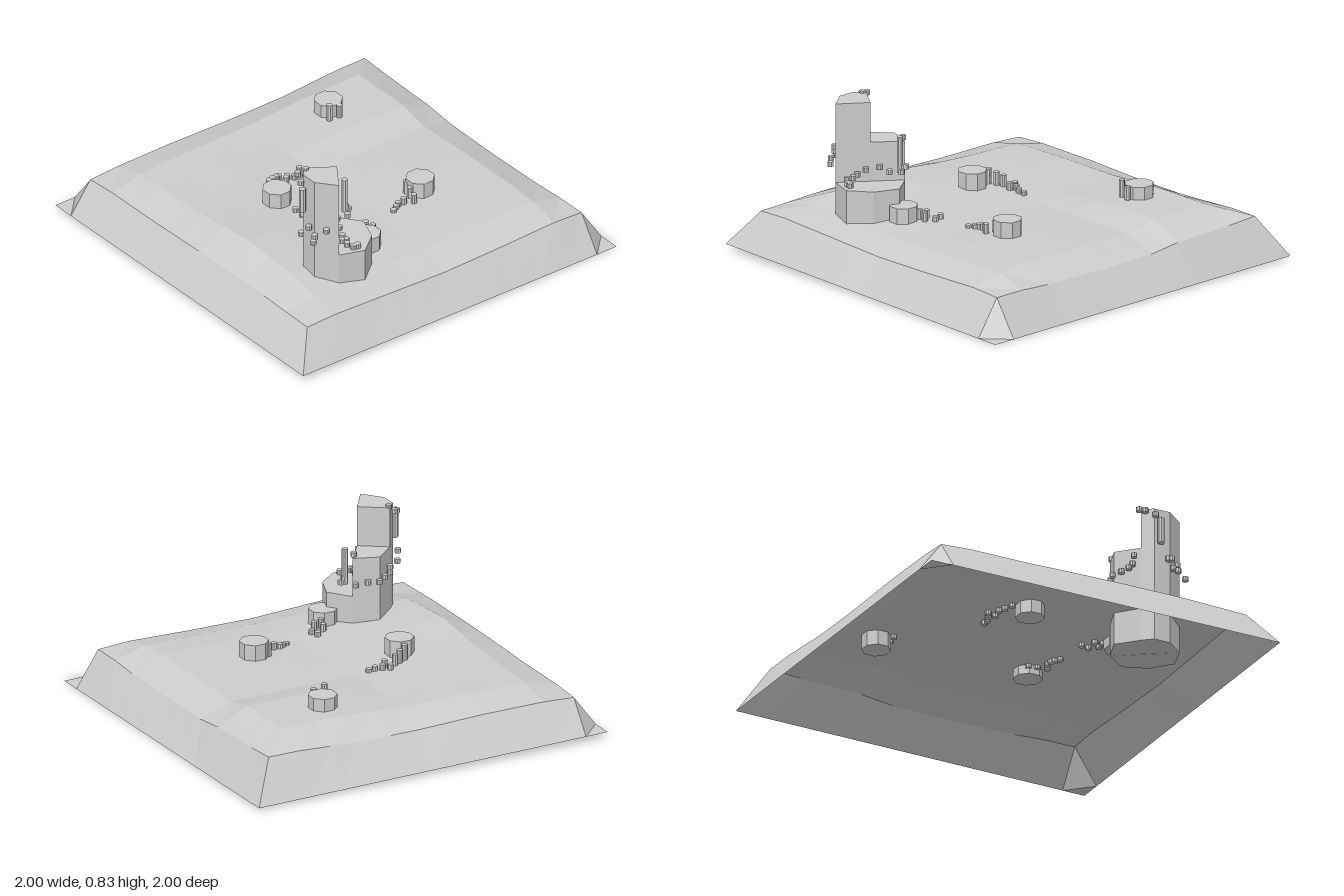
import * as THREE from 'three';

const stone = new THREE.MeshStandardMaterial({ color: 0xcccccc, flatShading: true, side: THREE.DoubleSide });
stone.name = 'greyStone';

// Coarse plateau heights; rows run back to front, columns left to right
const xs = [-0.875, -0.7, -0.35, 0, 0.35, 0.7, 0.875];
const zs = [-0.875, -0.7, -0.35, -0.175, 0.175, 0.525, 0.7, 0.875];
const heights = [
  [0.20, 0.21, 0.21, 0.20, 0.20, 0.22, 0.22],
  [0.21, 0.25, 0.26, 0.26, 0.28, 0.28, 0.21],
  [0.21, 0.26, 0.26, 0.255, 0.28, 0.28, 0.20],
  [0.215, 0.27, 0.265, 0.245, 0.245, 0.24, 0.18],
  [0.22, 0.305, 0.27, 0.245, 0.25, 0.25, 0.175],
  [0.22, 0.28, 0.26, 0.24, 0.25, 0.25, 0.18],
  [0.215, 0.24, 0.235, 0.23, 0.235, 0.24, 0.19],
  [0.21, 0.215, 0.20, 0.185, 0.19, 0.20, 0.19],
];

function locate(knots, v) {
  let i = 0;
  while (i < knots.length - 2 && v > knots[i + 1]) i++;
  return [i, THREE.MathUtils.clamp((v - knots[i]) / (knots[i + 1] - knots[i]), 0, 1)];
}

function groundHeight(x, z) {
  const [i, u] = locate(xs, x), [j, v] = locate(zs, z);
  const row = (r) => THREE.MathUtils.lerp(heights[r][i], heights[r][i + 1], u);
  return THREE.MathUtils.lerp(row(j), row(j + 1), v);
}

function addMesh(parent, geometry, name) {
  const mesh = new THREE.Mesh(geometry, stone);
  mesh.name = name;
  parent.add(mesh);
  return mesh;
}

// Gently uneven plateau with a steep one-cell skirt
function terrain() {
  const geo = new THREE.PlaneGeometry(2, 2, 12, 12).rotateX(-Math.PI / 2);
  const pos = geo.attributes.position;
  const coord = (i) => (i === 0 ? -1 : i === 12 ? 1 : (i - 6) * 0.175);
  for (let k = 0; k < pos.count; k++) {
    const x = coord(k % 13), z = coord(Math.floor(k / 13));
    const rim = Math.abs(x) === 1 || Math.abs(z) === 1;
    // The rim tilts slightly up towards the left
    const y = rim ? (1 - x) * 0.0165 + (1 - z) * (1 + x) * 0.003 : groundHeight(x, z);
    pos.setXYZ(k, x, y, z);
  }
  geo.computeVertexNormals();
  return geo;
}

// Upright prism over an (x, z) outline
function prism(outline, bottom, top) {
  const shape = new THREE.Shape(outline.map(([x, z]) => new THREE.Vector2(x, -z)));
  return new THREE.ExtrudeGeometry(shape, { depth: top - bottom, bevelEnabled: false })
    .rotateX(-Math.PI / 2).translate(0, bottom, 0);
}

function column(x, z, radius, bottom, top) {
  return new THREE.CylinderGeometry(radius, radius, top - bottom, 8)
    .rotateY(Math.PI / 8).translate(x, (bottom + top) / 2, z);
}

export function createModel() {
  const model = new THREE.Group();
  addMesh(model, terrain(), 'terrain');

  // Stepped tower: three prisms sharing one rough octagonal footprint
  const tower = new THREE.Group();
  tower.name = 'steppedTower';
  model.add(tower);
  addMesh(tower, prism([[-0.56, 0.45], [-0.425, 0.545], [-0.525, 0.69], [-0.605, 0.59], [-0.605, 0.5]], 0.1, 0.82), 'tallStep');
  addMesh(tower, prism([[-0.56, 0.45], [-0.45, 0.355], [-0.32, 0.405], [-0.425, 0.545]], 0.1, 0.61), 'middleStep');
  addMesh(tower, prism([[-0.525, 0.69], [-0.395, 0.735], [-0.285, 0.65], [-0.235, 0.52], [-0.32, 0.405]], 0.1, 0.405), 'lowStep');

  // Squat boulders: x, z, top
  const boulders = [[-0.33, -0.06, 0.35], [0.38, -0.543, 0.347], [0.31, 0.287, 0.333], [-0.213, 0.515, 0.327]];
  for (const [x, z, top] of boulders) addMesh(model, column(x, z, 0.075, 0.2, top), 'boulder');

  // Pebble trails on the ground: x, z, height
  const trails = [
    [0.09, 0.35, 0.015], [0.12, 0.335, 0.02], [0.14, 0.325, 0.025], [0.175, 0.325, 0.035],
    [0.22, 0.35, 0.05], [0.235, 0.3, 0.06], [0.245, 0.255, 0.07],
    [-0.31, -0.15, 0.08], [-0.27, -0.17, 0.07], [-0.235, -0.185, 0.06], [-0.19, -0.22, 0.03],
    [-0.18, -0.175, 0.04], [-0.155, -0.2, 0.03], [-0.12, -0.185, 0.025], [-0.085, -0.185, 0.02],
    [-0.09, 0.41, 0.025], [-0.1, 0.365, 0.025], [-0.125, 0.45, 0.045], [-0.155, 0.41, 0.04], [-0.165, 0.45, 0.05],
    [0.33, -0.47, 0.09], [0.385, -0.46, 0.07],
  ];
  for (const [x, z, h] of trails) {
    const y = groundHeight(x, z);
    addMesh(model, column(x, z, 0.016, y - 0.02, y + h), 'trailPebble');
  }

  // Pebbles climbing around the tower: x, z, centre height
  const climbing = [
    [-0.285, 0.46, 0.47], [-0.325, 0.505, 0.47], [-0.33, 0.39, 0.47], [-0.39, 0.37, 0.48],
    [-0.445, 0.35, 0.48], [-0.49, 0.375, 0.49], [-0.53, 0.395, 0.50], [-0.54, 0.41, 0.52],
    [-0.575, 0.4, 0.55], [-0.6, 0.45, 0.8], [-0.575, 0.43, 0.81], [-0.565, 0.47, 0.82],
    [-0.62, 0.5, 0.78], [-0.625, 0.57, 0.55], [-0.67, 0.565, 0.53], [-0.635, 0.62, 0.49],
    [-0.615, 0.605, 0.51], [-0.575, 0.65, 0.55], [-0.53, 0.72, 0.51],
    [-0.395, 0.51, 0.48], [-0.43, 0.57, 0.47], [-0.445, 0.615, 0.45], [-0.445, 0.645, 0.44],
    [-0.46, 0.67, 0.435], [-0.435, 0.69, 0.42], [-0.41, 0.695, 0.42],
    [-0.33, 0.41, 0.63], [-0.3, 0.455, 0.49],
  ];
  for (const [x, z, y] of climbing) {
    addMesh(tower, column(x, z, 0.016, y - 0.012, y + 0.012), 'climbingPebble');
  }

  // Two slim posts beside the tower
  addMesh(tower, column(-0.305, 0.455, 0.016, 0.46, 0.65), 'slimPost');
  addMesh(tower, column(-0.63, 0.525, 0.018, 0.625, 0.76), 'slimPost');

  return model;
}
